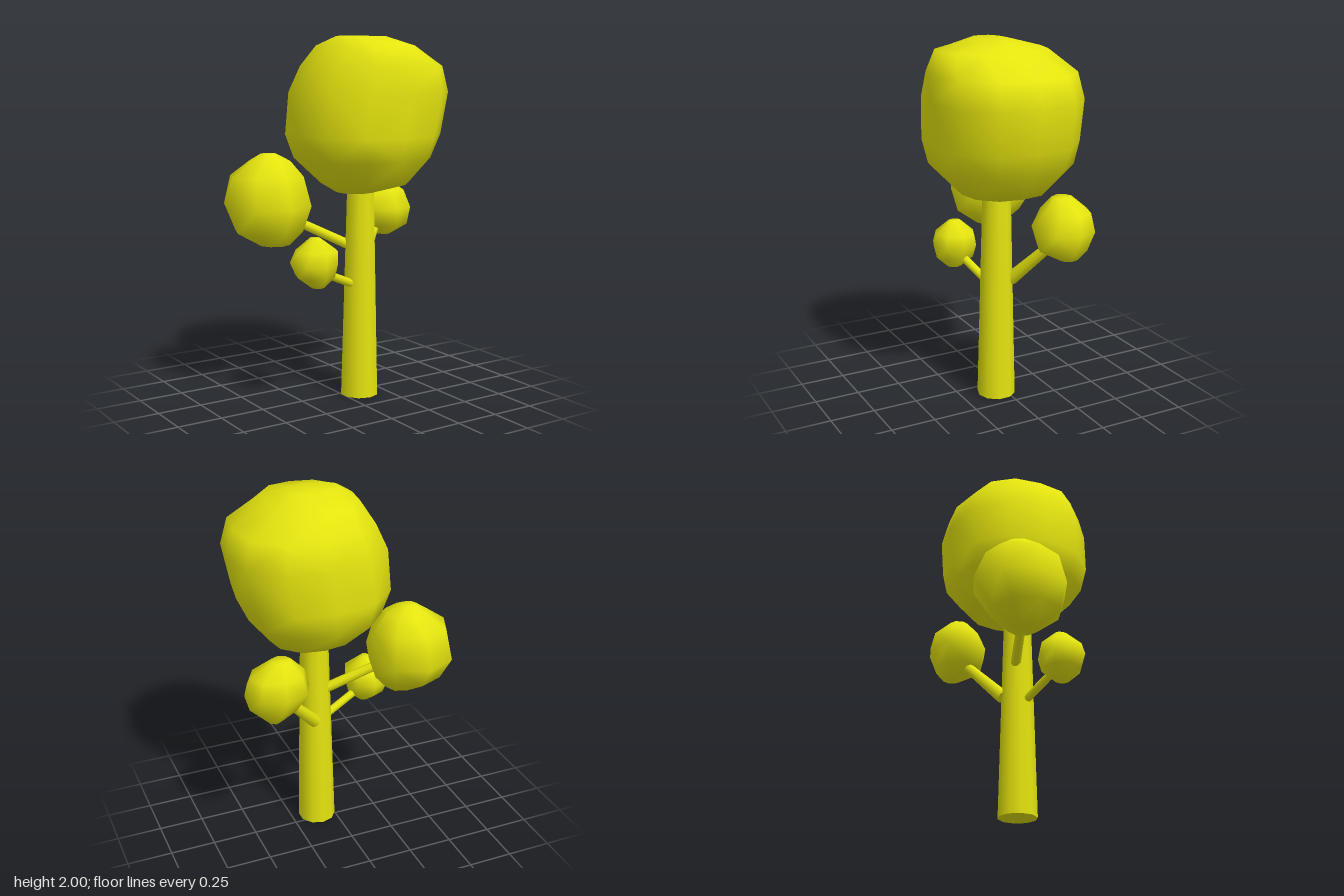
import * as THREE from 'three';

const foliageYellow = new THREE.MeshStandardMaterial({ color: 0xe4e40f });
foliageYellow.name = 'yellow';

// Foliage ball: rows of [y, xMin, xMax, zMin, zMax] from bottom to top;
// bulge pushes the diagonals out so the sections become squarer
function foliage(name, rows, sides, bulge) {
  const pos = [], index = [];
  const mid = (r) => [(r[1] + r[2]) / 2, r[0], (r[3] + r[4]) / 2];
  for (const r of rows) {
    const [cx, y, cz] = mid(r);
    for (let i = 0; i < sides; i++) {
      const a = (i / sides) * Math.PI * 2;
      const k = 1 + bulge * Math.sin(2 * a) ** 2;
      pos.push(cx + Math.cos(a) * k * (r[2] - r[1]) / 2, y, cz + Math.sin(a) * k * (r[4] - r[3]) / 2);
    }
  }
  const last = rows.length - 1, bottom = rows.length * sides, top = bottom + 1;
  pos.push(...mid(rows[0]), ...mid(rows[last]));
  for (let i = 0; i < sides; i++) {
    const n = (i + 1) % sides;
    for (let j = 0; j < last; j++) {
      const a = j * sides + i, b = j * sides + n, c = a + sides, d = b + sides;
      // Alternate the diagonals for an uneven, faceted surface
      if ((i + j) % 2) index.push(a, d, b, a, c, d);
      else index.push(a, c, b, b, c, d);
    }
    index.push(bottom, i, n, top, last * sides + n, last * sides + i);
  }
  const g = new THREE.BufferGeometry();
  g.setAttribute('position', new THREE.Float32BufferAttribute(pos, 3));
  g.setIndex(index);
  g.computeVertexNormals();
  const m = new THREE.Mesh(g, foliageYellow);
  m.name = name;
  return m;
}

// Tapered round limb between two points
function limb(name, from, to, r0, r1, sides) {
  const a = new THREE.Vector3(...from), b = new THREE.Vector3(...to);
  const d = b.clone().sub(a);
  const m = new THREE.Mesh(new THREE.CylinderGeometry(r1, r0, d.length(), sides), foliageYellow);
  m.position.copy(a).add(b).multiplyScalar(0.5);
  m.quaternion.setFromUnitVectors(new THREE.Vector3(0, 1, 0), d.normalize());
  m.name = name;
  return m;
}

export function createModel() {
  const tree = new THREE.Group();
  tree.name = 'tree';

  // Trunk and branches
  tree.add(
    limb('trunk', [0.1, 0, 0.047], [0.105, 1.22, 0.047], 0.107, 0.076, 10),
    limb('rightUpperBranch', [0.08, 0.84, 0.02], [-0.23, 1.0, -0.09], 0.029, 0.026, 8),
    limb('leftBranch', [0.135, 0.68, -0.025], [0.36, 0.935, -0.165], 0.038, 0.027, 8),
    limb('rightLowerBranch', [0.06, 0.635, 0.06], [-0.2, 0.745, 0.12], 0.023, 0.023, 8),
  );

  // Main crown
  tree.add(foliage('crown', [
    [1.155, -0.03, 0.16, -0.06, 0.15],
    [1.2, -0.09, 0.37, -0.2, 0.27],
    [1.34, -0.23, 0.48, -0.34, 0.405],
    [1.47, -0.285, 0.54, -0.355, 0.43],
    [1.7, -0.265, 0.585, -0.355, 0.44],
    [1.84, -0.2, 0.54, -0.32, 0.425],
    [1.95, -0.13, 0.35, -0.21, 0.37],
    [2.0, -0.05, 0.24, -0.02, 0.15],
  ], 12, 0.07));

  // Side clumps
  tree.add(foliage('rightUpperClump', [
    [0.87, -0.42, -0.25, -0.22, -0.06],
    [0.95, -0.56, -0.18, -0.34, 0.05],
    [1.09, -0.6, -0.125, -0.44, 0.095],
    [1.25, -0.575, -0.16, -0.375, 0.04],
    [1.33, -0.46, -0.23, -0.29, -0.05],
    [1.37, -0.4, -0.31, -0.21, -0.13],
  ], 8, 0));
  tree.add(foliage('leftClump', [
    [0.855, 0.4, 0.48, -0.26, -0.16],
    [0.92, 0.29, 0.56, -0.31, -0.04],
    [1.02, 0.23, 0.59, -0.355, -0.02],
    [1.12, 0.26, 0.56, -0.33, -0.07],
    [1.19, 0.33, 0.44, -0.25, -0.14],
  ], 8, 0));
  tree.add(foliage('rightLowerClump', [
    [0.67, -0.27, -0.2, 0.1, 0.18],
    [0.73, -0.35, -0.14, 0.02, 0.245],
    [0.8, -0.385, -0.12, 0.0, 0.26],
    [0.87, -0.355, -0.12, 0.02, 0.25],
    [0.94, -0.27, -0.22, 0.1, 0.17],
  ], 8, 0));

  return tree;
}
